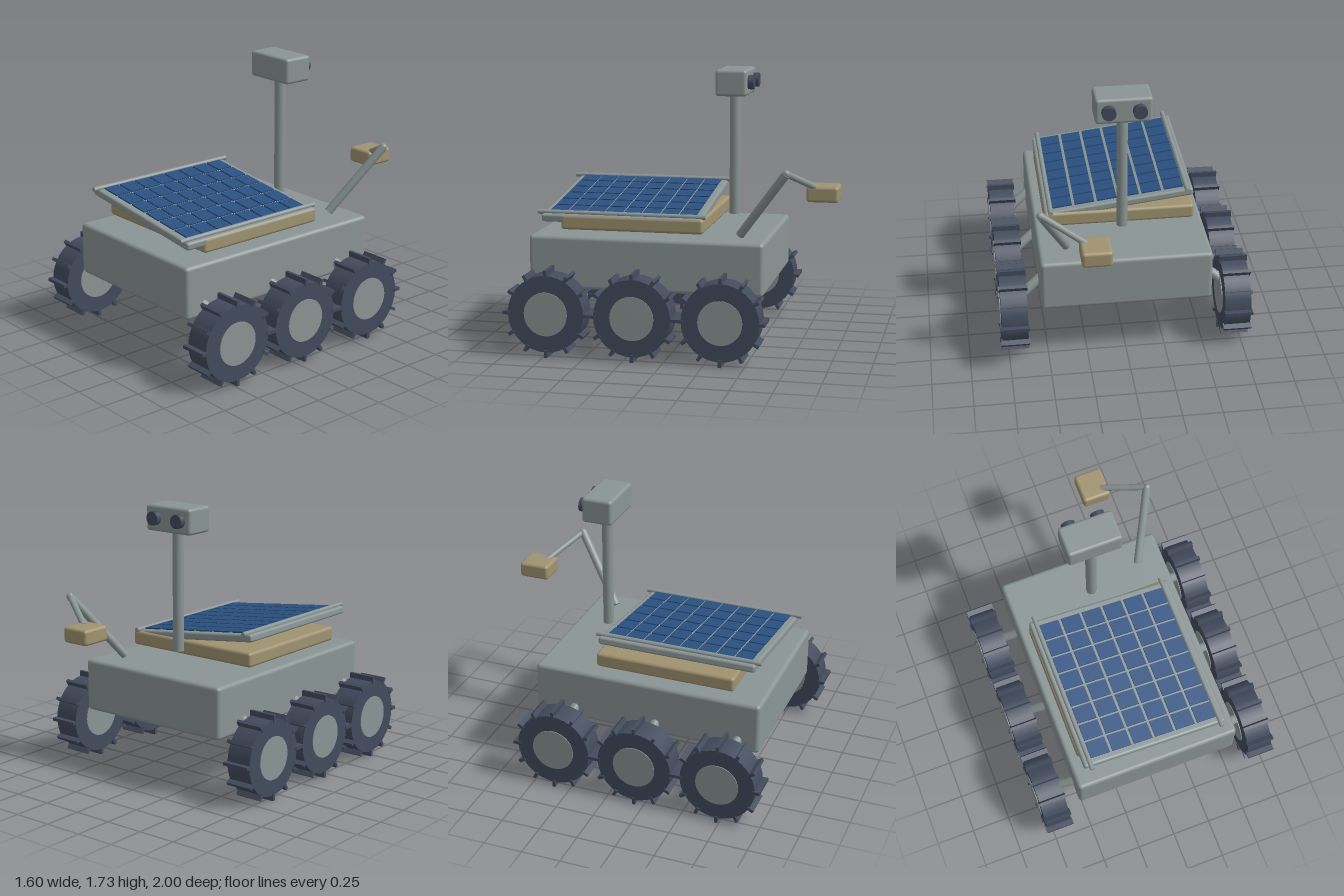
import * as THREE from 'three';
import { RoundedBoxGeometry } from 'three/addons/geometries/RoundedBoxGeometry.js';

const material = (name, color) => {
  const m = new THREE.MeshStandardMaterial({ color });
  m.name = name;
  return m;
};

export function createModel() {
  const grey = material('grey metal', 0x8b9595);
  const gold = material('gold foil', 0xa09370);
  const dark = material('dark rubber', 0x424b5d);
  const blue = material('solar blue', 0x2a5080);

  const rover = new THREE.Group();
  rover.name = 'rover';

  const add = (parent, name, geometry, mat, x = 0, y = 0, z = 0) => {
    const mesh = new THREE.Mesh(geometry, mat);
    mesh.name = name;
    mesh.position.set(x, y, z);
    parent.add(mesh);
    return mesh;
  };
  // Rounded box given by its limits on each axis
  const block = (name, mat, [x0, x1], [y0, y1], [z0, z1], r) =>
    add(rover, name, new RoundedBoxGeometry(x1 - x0, y1 - y0, z1 - z0, 3, r), mat,
      (x0 + x1) / 2, (y0 + y1) / 2, (z0 + z1) / 2);
  // Round bar between two points
  const bar = (parent, name, from, to, r, mat = grey) => {
    const a = new THREE.Vector3(...from), b = new THREE.Vector3(...to);
    const dir = b.clone().sub(a);
    const mesh = add(parent, name, new THREE.CylinderGeometry(r, r, dir.length(), 20), mat);
    mesh.position.copy(a).add(b).multiplyScalar(0.5);
    mesh.quaternion.setFromUnitVectors(new THREE.Vector3(0, 1, 0), dir.normalize());
    return mesh;
  };

  // Body and equipment deck
  block('body', grey, [-0.54, 0.54], [0.38, 0.715], [-0.575, 0.91], 0.025);
  block('deck', gold, [-0.48, 0.48], [0.745, 0.84], [-0.187, 0.72], 0.02);

  // Mast with camera head
  bar(rover, 'mast', [0, 0.805, -0.3], [0, 1.6, -0.3], 0.035);
  block('cameraHead', grey, [-0.175, 0.175], [1.57, 1.735], [-0.4, -0.2], 0.02);
  for (const x of [-0.095, 0.095])
    bar(rover, 'cameraLens', [x, 1.655, -0.36], [x, 1.655, -0.437], 0.044, dark);

  // Jointed arm with tool box
  const elbow = [0.54, 1.15, -0.71];
  bar(rover, 'upperArm', [0.365, 0.735, -0.4], elbow, 0.027);
  bar(rover, 'forearm', elbow, [0.28, 1.03, -0.862], 0.02);
  add(rover, 'elbow', new THREE.SphereGeometry(0.024, 16, 12), grey, ...elbow);
  block('armTool', gold, [0.14, 0.325], [0.945, 1.045], [-1, -0.8], 0.02);

  // Tilted solar panel
  const panel = new THREE.Group();
  panel.name = 'solarPanel';
  panel.position.set(0, 0.872, 0.337);
  panel.rotation.z = -0.122;
  rover.add(panel);
  add(panel, 'panelFrame', new RoundedBoxGeometry(0.96, 0.05, 1.02, 3, 0.015), grey);
  for (let i = 0; i < 6; i++)
    for (let j = 0; j < 8; j++)
      add(panel, 'solarCell', new THREE.BoxGeometry(0.126, 0.009, 0.105), blue,
        (i - 2.5) * 0.144, 0.0295, (j - 3.5) * 0.1185);
  for (const x of [-0.44, 0.44])
    bar(panel, 'panelRail', [x, 0.03, -0.535], [x, 0.03, 0.54], 0.015);

  // Six wheels with hubs, treads and suspension struts
  const tyre = new THREE.CylinderGeometry(0.24, 0.24, 0.166, 36).rotateZ(Math.PI / 2);
  const hub = new THREE.CylinderGeometry(0.137, 0.137, 0.176, 32).rotateZ(Math.PI / 2);
  const tread = new THREE.BoxGeometry(0.18, 0.045, 0.02);
  for (const side of [-1, 1])
    for (const z of [0.73, 0.188, -0.356]) {
      const wheel = new THREE.Group();
      wheel.name = side > 0 ? 'leftWheel' : 'rightWheel';
      wheel.position.set(side * 0.71, 0.274, z);
      rover.add(wheel);
      add(wheel, 'tyre', tyre, dark);
      add(wheel, 'hub', hub, grey);
      for (let i = 0; i < 12; i++) {
        const a = (i / 12) * Math.PI * 2;
        add(wheel, 'tread', tread, dark, 0, Math.cos(a) * 0.2505, Math.sin(a) * 0.2505)
          .rotation.x = a;
      }
      bar(rover, 'strut', [side * 0.48, 0.49, z + 0.055], [side * 0.67, 0.345, z], 0.031);
    }

  return rover;
}
